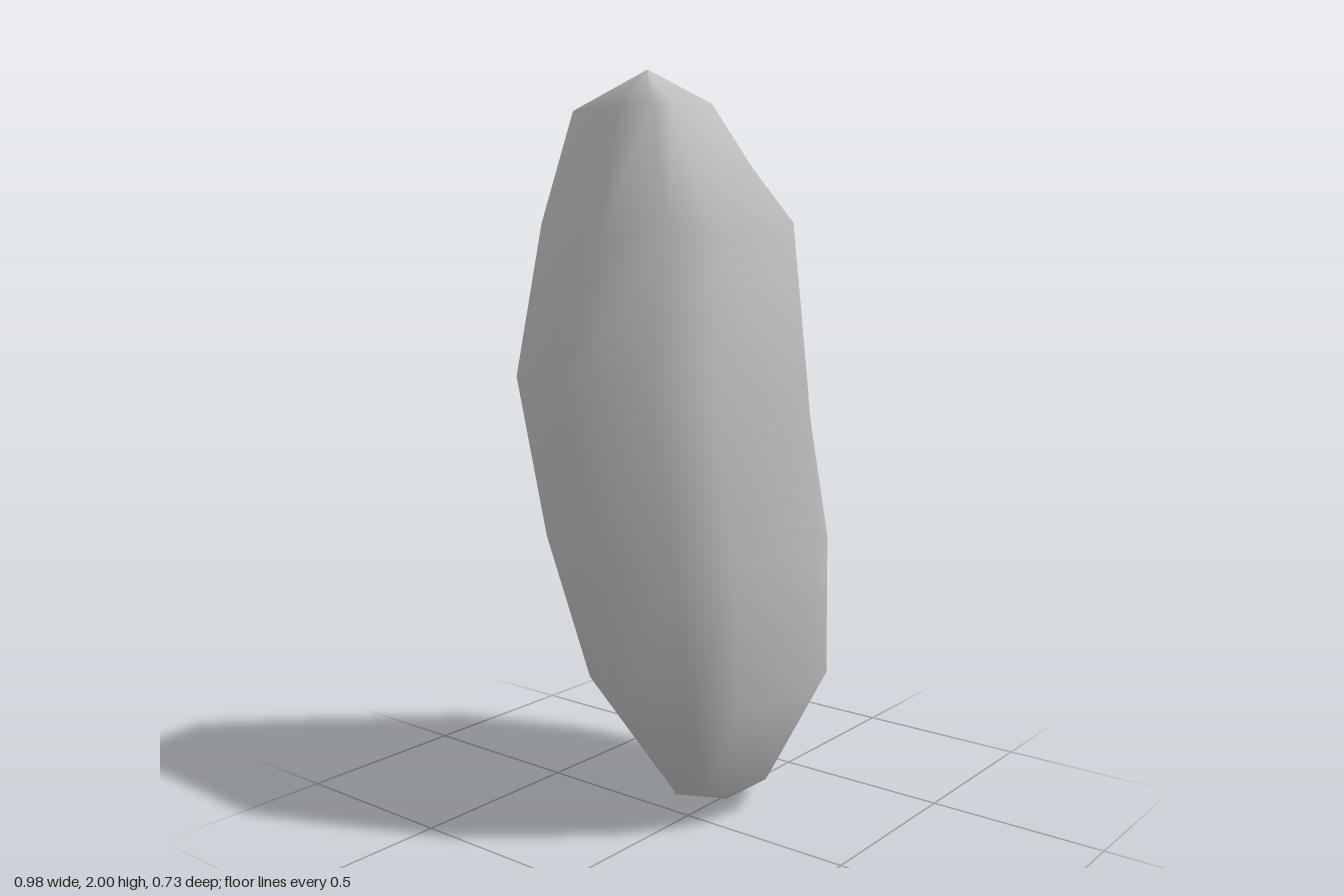
import * as THREE from 'three';

// Cross-section of the stone, from +x round through +z, in units of the half extents
const outline = [
  [1, -0.29], [0.91, 0.29], [0.53, 0.72], [0.1, 1], [-0.56, 0.81], [-0.83, 0.58],
  [-1, 0.03], [-0.76, -0.4], [-0.54, -1], [0.13, -0.83], [0.63, -0.74],
];
// Rings from bottom tip to top tip: y, min x, max x, min z, max z
const rings = [
  [0, 0.16, 0.16, 0.015, 0.015],
  [0.10, -0.09, 0.34, -0.11, 0.16],
  [0.385, -0.30, 0.48, -0.29, 0.31],
  [0.785, -0.39, 0.485, -0.345, 0.365],
  [1.23, -0.49, 0.435, -0.36, 0.365],
  [1.62, -0.41, 0.26, -0.26, 0.345],
  [1.91, -0.335, -0.01, -0.16, 0.195],
  [2, -0.18, -0.18, 0.015, 0.015],
];
// Dents and bumps: ring, corner, then the shift in x, y and z
const dents = [
  [2, 0, 0, 0, 0.06], [2, 1, 0.035, 0, 0.02], [2, 2, 0.02, 0, 0.02], [2, 4, 0.02, 0, 0],
  [2, 5, 0.04, 0, -0.02], [2, 8, 0.04, -0.02, 0], [2, 10, -0.03, 0, 0.03],
  [3, 1, 0.02, 0, 0], [3, 5, -0.02, 0, 0.01],
  [4, 1, -0.08, 0, 0], [4, 2, -0.06, 0, 0],
  [5, 0, -0.03, 0, -0.03], [5, 1, 0.03, 0, -0.03], [5, 5, 0, 0.03, 0], [5, 6, 0, -0.03, 0],
  [5, 8, -0.02, 0.02, 0], [5, 9, 0, 0, -0.03], [5, 10, 0.02, -0.06, -0.02],
  [6, 1, 0, -0.04, 0], [6, 2, 0.05, -0.06, 0], [6, 5, -0.015, 0, 0.03],
  [6, 6, 0, 0, 0.03], [6, 9, 0, 0.03, 0], [6, 10, 0.05, 0.015, -0.04],
];

export function createModel() {
  const group = new THREE.Group();
  const stone = new THREE.MeshStandardMaterial({ color: 0xc0c0c0 });
  stone.name = 'stone grey';

  const n = outline.length;
  const positions = [];
  for (const [y, x0, x1, z0, z1] of rings) {
    for (const [u, v] of outline) {
      const dx = u * (x1 - x0) / 2;
      // the upper rings lean slightly
      const tilt = y > 1.5 ? 0.06 * dx : 0;
      positions.push((x0 + x1) / 2 + dx, y + tilt, (z0 + z1 + v * (z1 - z0)) / 2);
    }
  }
  for (const [ring, corner, ...shift] of dents) {
    shift.forEach((s, k) => { positions[(ring * n + corner) * 3 + k] += s; });
  }

  // Skin the rings; the tips keep one point per side, so their facets stay crisp
  const index = [];
  const last = rings.length - 2;
  for (let j = 0; j <= last; j++) {
    for (let i = 0; i < n; i++) {
      const a = j * n + i;
      const b = j * n + (i + 1) % n;
      if (j > 0) index.push(a, a + n, b);
      if (j < last) index.push(b, a + n, b + n);
    }
  }

  const geometry = new THREE.BufferGeometry();
  geometry.setAttribute('position', new THREE.Float32BufferAttribute(positions, 3));
  geometry.setIndex(index);
  geometry.computeVertexNormals();

  const rock = new THREE.Mesh(geometry, stone);
  rock.name = 'rock';
  group.add(rock);
  return group;
}
